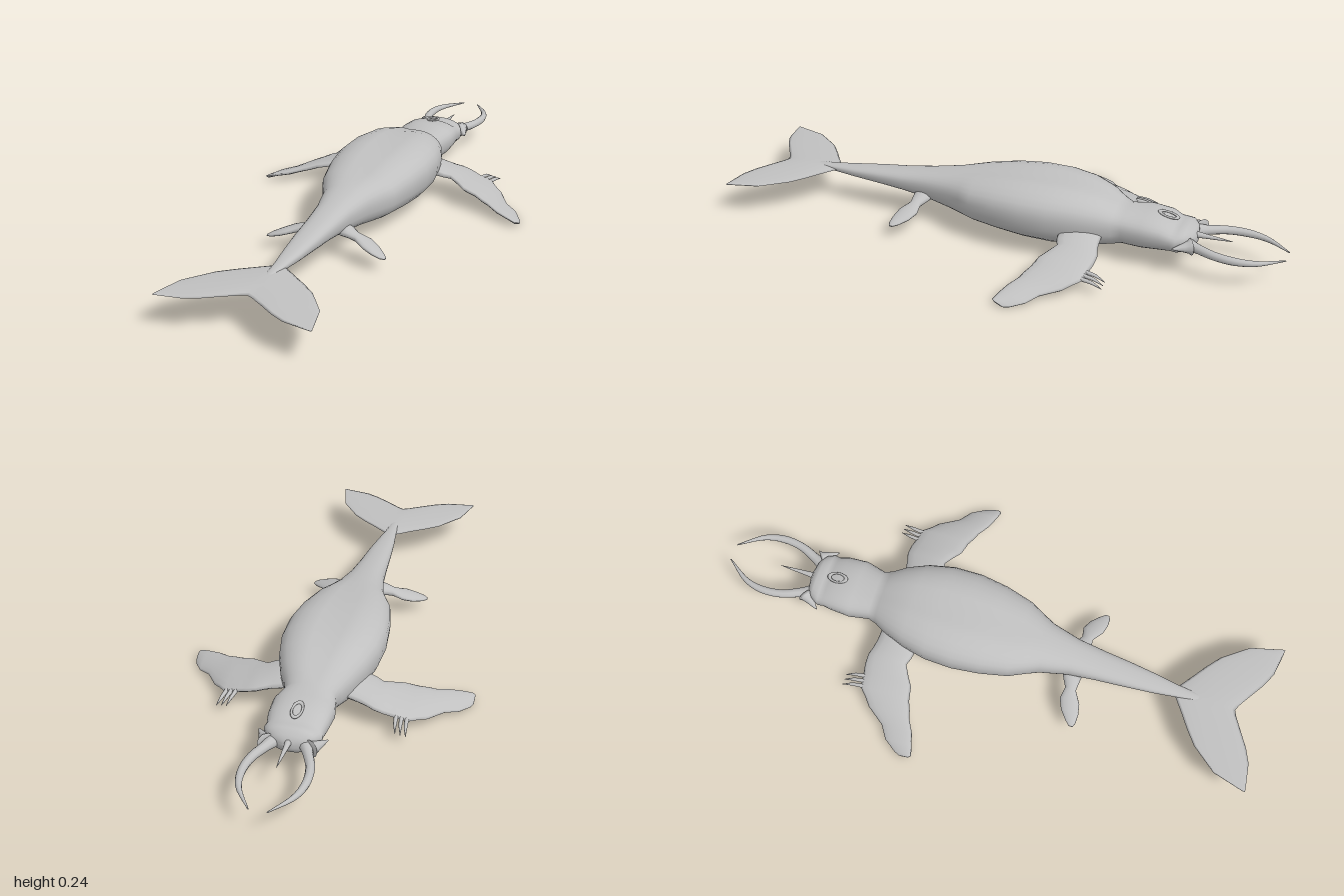
import * as THREE from 'three';

const skin = new THREE.MeshStandardMaterial({ color: 0xc0c0c0 });
skin.name = 'pale grey skin';

// Skin closed rings of equal length, cap both ends, keep faces outward
function loft(name, rings) {
  const n = rings[0].length, pos = rings.flat().flatMap(p => [p.x, p.y, p.z]), idx = [];
  for (let r = 0; r < rings.length - 1; r++) {
    for (let i = 0; i < n; i++) {
      const a = r * n + i, b = r * n + (i + 1) % n;
      idx.push(a, b, a + n, b, b + n, a + n);
    }
  }
  const last = (rings.length - 1) * n;
  for (let i = 1; i < n - 1; i++) idx.push(0, i + 1, i, last, last + i, last + i + 1);
  const v = i => new THREE.Vector3().fromArray(pos, i * 3);
  let volume = 0;
  for (let i = 0; i < idx.length; i += 3) volume += v(idx[i]).dot(v(idx[i + 1]).cross(v(idx[i + 2])));
  if (volume < 0) idx.reverse();
  const g = new THREE.BufferGeometry();
  g.setAttribute('position', new THREE.Float32BufferAttribute(pos, 3));
  g.setIndex(idx);
  g.computeVertexNormals();
  const mesh = new THREE.Mesh(g, skin);
  mesh.name = name;
  return mesh;
}

// Flat fin along x from stations [x, leading z, trailing z, y, thickness]
function fin(name, stations, side = 1, tilt = 0) {
  return loft(name, stations.map(([x, z0, z1, y, t]) => {
    const ring = [];
    for (let i = 0; i < 14; i++) {
      const a = i / 14 * Math.PI * 2, c = Math.cos(a), s = Math.sin(a);
      ring.push(new THREE.Vector3(side * x, y + s * t / 2 - c * tilt, (z0 + z1) / 2 - c * (z1 - z0) / 2));
    }
    return ring;
  }));
}

// Tapering round horn along a smooth path
function horn(name, points, radii) {
  const curve = new THREE.CatmullRomCurve3(points.map(p => new THREE.Vector3(...p)));
  const steps = points.length > 2 ? 18 : 4, rings = [];
  for (let k = 0; k <= steps; k++) {
    const t = k / steps, p = curve.getPoint(t), d = curve.getTangent(t);
    const u = new THREE.Vector3(0, 1, 0).cross(d).normalize(), w = d.clone().cross(u);
    const f = t * (radii.length - 1), j = Math.min(Math.floor(f), radii.length - 2);
    const r = THREE.MathUtils.lerp(radii[j], radii[j + 1], f - j), ring = [];
    for (let i = 0; i < 10; i++) {
      const a = i / 10 * Math.PI * 2;
      ring.push(p.clone().addScaledVector(u, r * Math.cos(a)).addScaledVector(w, r * Math.sin(a)));
    }
    rings.push(ring);
  }
  return loft(name, rings);
}

// Body stations: [z, half width, top y, bottom y, groove along the back]
const BODY = [
  [-0.69, 0.02, 0.125, 0.095, 0], [-0.68, 0.06, 0.145, 0.08, 0], [-0.66, 0.085, 0.16, 0.07, 0],
  [-0.635, 0.098, 0.157, 0.065, 0], [-0.615, 0.095, 0.16, 0.065, 0], [-0.58, 0.102, 0.178, 0.063, 0],
  [-0.51, 0.106, 0.186, 0.058, 0], [-0.44, 0.09, 0.18, 0.055, 0], [-0.41, 0.1, 0.195, 0.048, 0.002],
  [-0.36, 0.128, 0.222, 0.04, 0.006], [-0.29, 0.155, 0.243, 0.034, 0.009], [-0.2, 0.175, 0.252, 0.031, 0.011],
  [-0.1, 0.178, 0.252, 0.034, 0.011], [0, 0.165, 0.243, 0.042, 0.008], [0.1, 0.14, 0.226, 0.05, 0.005],
  [0.15, 0.114, 0.217, 0.055, 0.002], [0.2, 0.09, 0.207, 0.062, 0], [0.3, 0.065, 0.19, 0.08, 0],
  [0.4, 0.054, 0.174, 0.094, 0], [0.5, 0.045, 0.163, 0.102, 0], [0.6, 0.034, 0.15, 0.108, 0],
  [0.68, 0.022, 0.141, 0.113, 0], [0.78, 0.012, 0.133, 0.117, 0]
];

const FRONT_FLIPPER = [
  [0.08, -0.38, -0.24, 0.118, 0.05], [0.15, -0.385, -0.24, 0.103, 0.046], [0.18, -0.392, -0.245, 0.096, 0.038],
  [0.205, -0.4, -0.255, 0.09, 0.036], [0.24, -0.4, -0.235, 0.08, 0.035], [0.27, -0.395, -0.215, 0.07, 0.034],
  [0.32, -0.39, -0.205, 0.058, 0.031], [0.35, -0.36, -0.192, 0.049, 0.03], [0.375, -0.34, -0.185, 0.042, 0.028],
  [0.42, -0.275, -0.16, 0.031, 0.024], [0.465, -0.245, -0.145, 0.022, 0.02], [0.495, -0.2, -0.137, 0.014, 0.015],
  [0.503, -0.18, -0.145, 0.013, 0.006]
];

const HIND_FLIPPER = [
  [0.03, 0.27, 0.35, 0.108, 0.04], [0.07, 0.285, 0.345, 0.1, 0.036], [0.1, 0.302, 0.342, 0.09, 0.03],
  [0.14, 0.296, 0.368, 0.078, 0.026], [0.175, 0.312, 0.376, 0.066, 0.022], [0.205, 0.338, 0.376, 0.057, 0.016],
  [0.22, 0.355, 0.37, 0.053, 0.006]
];

const FLUKE = [
  [0, 0.66, 0.89, 0.125, 0.02], [0.022, 0.68, 0.9, 0.125, 0.018], [0.07, 0.715, 0.93, 0.125, 0.015],
  [0.12, 0.75, 0.962, 0.124, 0.013], [0.17, 0.79, 0.985, 0.123, 0.011], [0.24, 0.88, 0.996, 0.122, 0.008],
  [0.27, 0.99, 1, 0.122, 0.003]
];

export function createModel() {
  const model = new THREE.Group();
  model.name = 'seaCreature';

  // Head, trunk and tail stem in one smooth skin
  const power = (v, e) => Math.sign(v) * Math.abs(v) ** e;
  model.add(loft('body', BODY.map(([z, w, top, bottom, groove]) => {
    const ring = [], mid = bottom + (top - bottom) * 0.57;
    for (let i = 0; i < 28; i++) {
      const a = i / 28 * Math.PI * 2, c = power(Math.cos(a), 0.85), s = power(Math.sin(a), 0.85);
      const dip = s > 0 ? groove * Math.exp(-((c / 0.25) ** 2)) : 0;
      ring.push(new THREE.Vector3(w * c, mid + s * (s > 0 ? top - mid : mid - bottom) - dip, z));
    }
    return ring;
  })));

  // Tail fluke, one span from tip to tip
  const mirrored = FLUKE.slice(1).reverse().map(([x, ...rest]) => [-x, ...rest]);
  model.add(fin('tailFluke', [...mirrored, ...FLUKE]));

  for (const side of [1, -1]) {
    const tag = side > 0 ? 'left' : 'right';
    model.add(fin(tag + 'FrontFlipper', FRONT_FLIPPER, side, 0.008));
    model.add(fin(tag + 'HindFlipper', HIND_FLIPPER, side));

    // Three claws on the leading edge
    for (let i = 0; i < 3; i++) {
      const x = 0.278 + i * 0.018;
      model.add(horn(tag + 'Claw', [
        [side * x, 0.06 - i * 0.004, -0.375], [side * (x + 0.006), 0.056 - i * 0.004, -0.42],
        [side * (x + 0.014), 0.043 - i * 0.003, -0.456]
      ], [0.008, 0.006, 0.001]));
    }

    // Curved mandible and the cheek spike at its root
    model.add(horn(tag + 'Mandible', [
      [side * 0.05, 0.108, -0.66], [side * 0.07, 0.107, -0.705], [side * 0.097, 0.106, -0.77],
      [side * 0.105, 0.104, -0.84], [side * 0.09, 0.102, -0.91], [side * 0.03, 0.1, -0.998]
    ], [0.026, 0.017, 0.015, 0.014, 0.01, 0.002]));
    model.add(horn(tag + 'CheekSpike', [[side * 0.075, 0.112, -0.685], [side * 0.115, 0.112, -0.63]], [0.03, 0.002]));
  }

  // Snout horn
  model.add(horn('snoutHorn', [[0, 0.122, -0.66], [0, 0.118, -0.81]], [0.016, 0.001]));

  // Oval blowhole rim on top of the head
  const rim = new THREE.Mesh(new THREE.TorusGeometry(0.017, 0.004, 8, 24), skin);
  rim.name = 'blowholeRim';
  rim.scale.y = 1.9;
  rim.rotation.x = -Math.PI / 2 - 0.2;
  rim.position.set(0, 0.178, -0.585);
  model.add(rim);

  return model;
}
